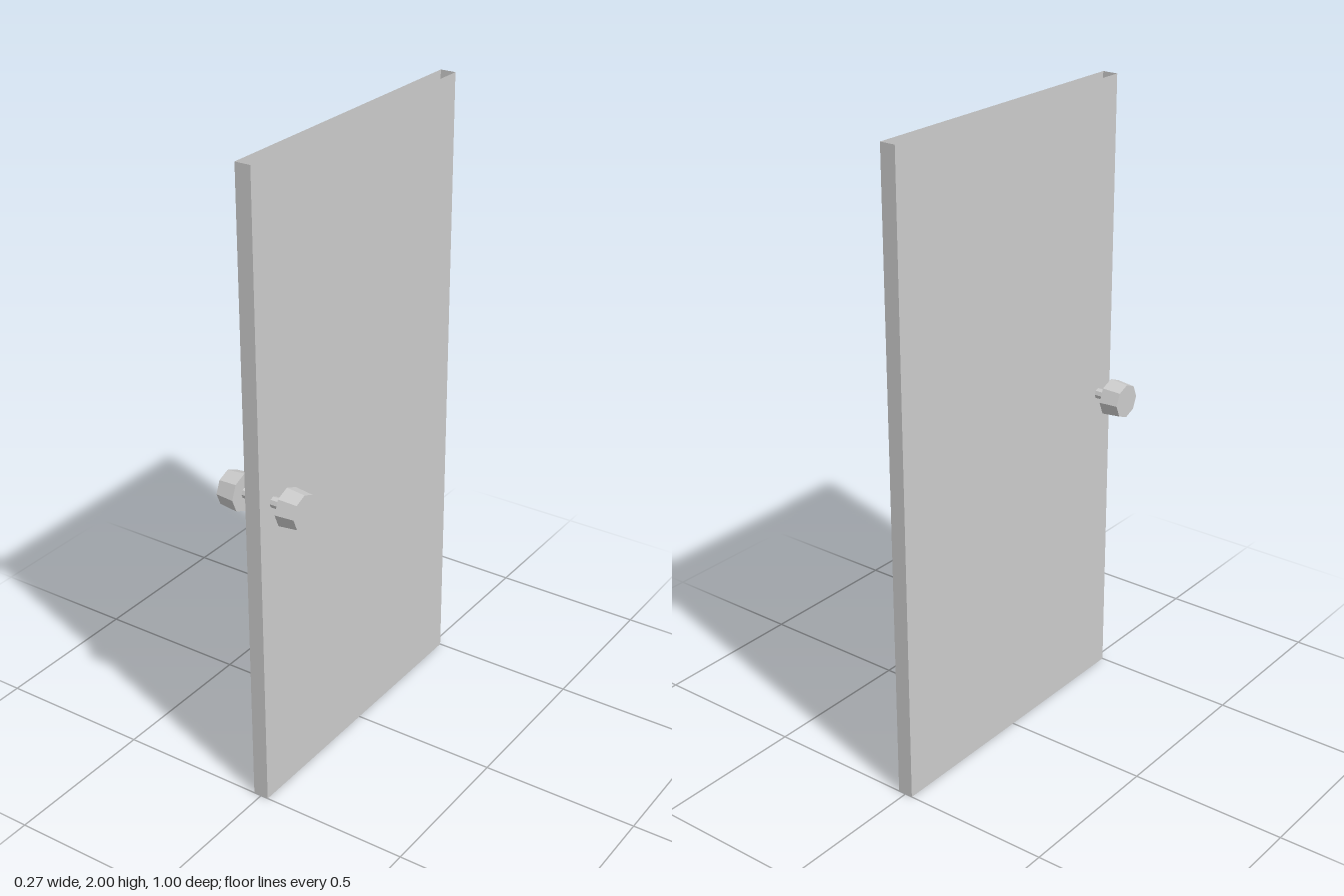
import * as THREE from 'three';

export function createModel() {
  const model = new THREE.Group();
  const material = new THREE.MeshStandardMaterial({
    color: 0xcccccc, flatShading: true, side: THREE.DoubleSide,
  });

  const add = (name, geometry, parent = model) => {
    const mesh = new THREE.Mesh(geometry, material);
    mesh.name = name;
    parent.add(mesh);
    return mesh;
  };

  // Door panel: four upright walls, open at top and bottom
  const width = 1, height = 2, thickness = 0.05;
  const panel = new THREE.Group();
  panel.name = 'doorPanel';
  model.add(panel);
  for (const s of [-1, 1]) {
    const face = add(s > 0 ? 'leftFace' : 'rightFace', new THREE.PlaneGeometry(width, height), panel);
    face.rotation.y = s * Math.PI / 2;
    face.position.set(s * thickness / 2, height / 2, 0);

    const edge = add(s > 0 ? 'frontEdge' : 'backEdge', new THREE.PlaneGeometry(thickness, height), panel);
    edge.rotation.y = s > 0 ? 0 : Math.PI;
    edge.position.set(0, height / 2, s * width / 2);
  }

  // Handle: a spindle through the door with a tapered octagonal knob on each side
  const handle = new THREE.Group();
  handle.name = 'handle';
  handle.position.set(0, 1, 0.437);
  model.add(handle);

  const spindle = add('spindle', new THREE.CylinderGeometry(0.017, 0.017, 0.146, 8), handle);
  spindle.rotation.z = Math.PI / 2;

  for (const s of [-1, 1]) {
    const knob = add(s > 0 ? 'leftKnob' : 'rightKnob',
      new THREE.CylinderGeometry(0.054, 0.06, 0.06, 8), handle);
    knob.rotation.z = -s * Math.PI / 2;
    knob.position.x = s * 0.103;
  }

  return model;
}
